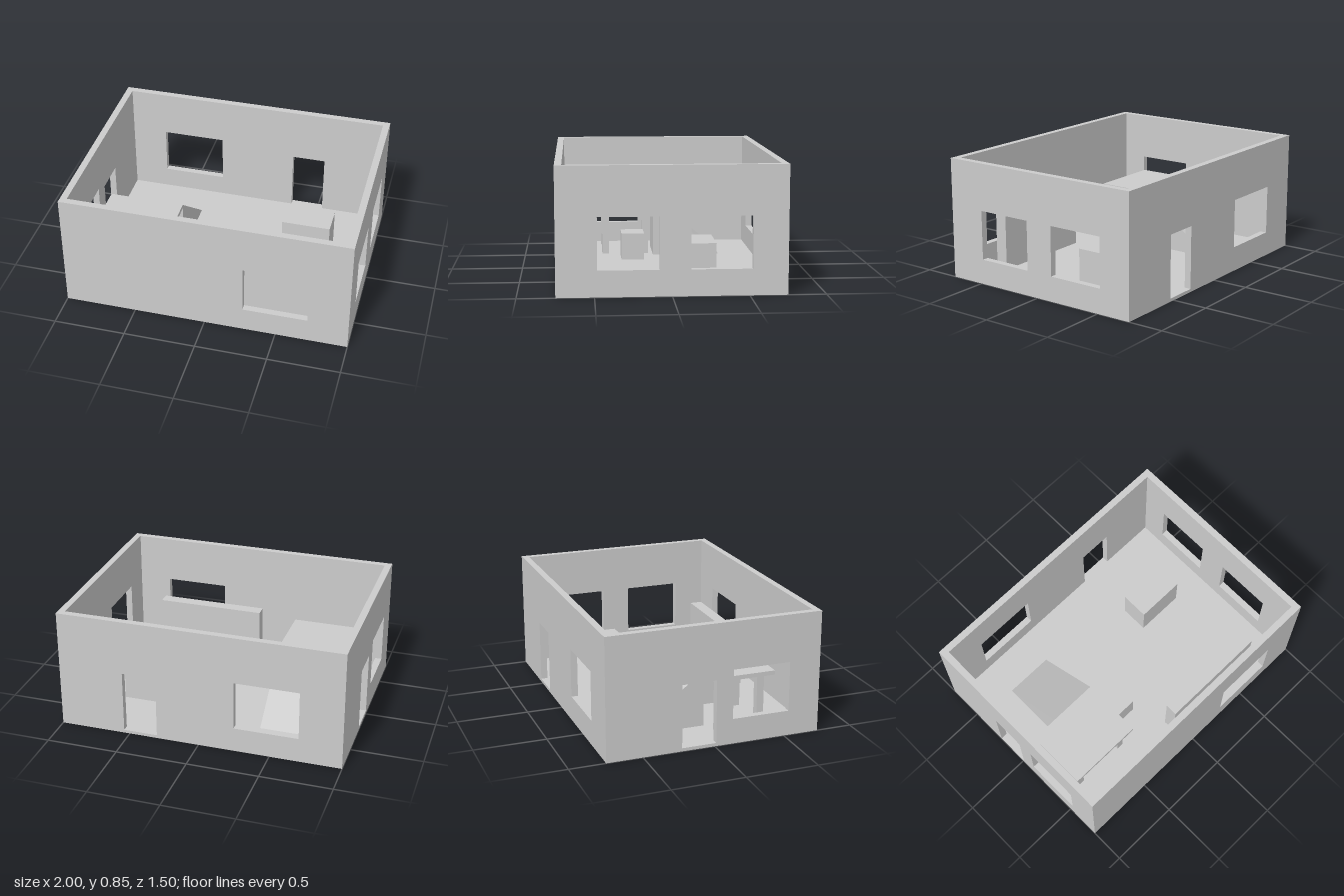
import * as THREE from 'three';

export function createModel() {
  const group = new THREE.Group();
  group.name = 'openRoom';
  const grey = new THREE.MeshStandardMaterial({ color: 0xcccccc, flatShading: true });
  grey.name = 'plain grey';

  const T = 0.047; // wall thickness
  const H = 0.85; // wall height
  const W = 1, D = 0.75; // half width and half depth
  const F = 0.022; // floor thickness

  function add(geometry, name, parent = group) {
    const mesh = new THREE.Mesh(geometry, grey);
    mesh.name = name;
    parent.add(mesh);
    return mesh;
  }

  // Box given by its limits on each axis
  function box(name, x0, x1, y0, y1, z0, z1, parent) {
    const g = new THREE.BoxGeometry(x1 - x0, y1 - y0, z1 - z0);
    g.translate((x0 + x1) / 2, (y0 + y1) / 2, (z0 + z1) / 2);
    return add(g, name, parent);
  }

  function outline(target, a, b, c, d) {
    target.moveTo(a, c);
    target.lineTo(b, c);
    target.lineTo(b, d);
    target.lineTo(a, d);
    target.closePath();
    return target;
  }

  // Wall panel with rectangular openings [from, to, bottom, top]
  function wall(name, half, openings) {
    const shape = outline(new THREE.Shape(), -half, half, 0, H);
    for (const o of openings) shape.holes.push(outline(new THREE.Path(), ...o));
    return add(new THREE.ExtrudeGeometry(shape, { depth: T, bevelEnabled: false }), name);
  }

  // Outer walls with windows and doorways
  const sill = 0.175, head = 0.52, doorHead = 0.462;
  wall('frontWall', W, [[0.27, 0.72, sill, head]]).position.z = D - T;
  wall('backWall', W, [[-0.7, -0.25, sill, head], [0.3, 0.54, F, doorHead]]).position.z = -D;
  const leftWall = wall('leftWall', D - T, [[0.082, 0.482, sill, head], [-0.52, -0.12, sill, head]]);
  const rightWall = wall('rightWall', D - T, [[0.127, 0.53, sill, head], [-0.23, 0.01, F, doorHead]]);
  leftWall.rotation.y = rightWall.rotation.y = -Math.PI / 2;
  leftWall.position.x = W;
  rightWall.position.x = -W + T;

  // Floor slab between the walls
  box('floor', -W + T, W - T, 0, F, -D + T, D - T);

  // Table with four legs
  const table = new THREE.Group();
  table.name = 'table';
  group.add(table);
  box('tableTop', -0.89, -0.35, 0.4, 0.43, 0.043, 0.475, table);
  for (const x of [-0.84, -0.45]) {
    for (const z of [0.077, 0.37]) box('tableLeg', x, x + 0.05, F, 0.4, z, z + 0.05, table);
  }

  // Ramp rising from the floor to the table edge
  const profile = new THREE.Shape();
  profile.moveTo(-0.447, F);
  profile.lineTo(0.043, F);
  profile.lineTo(0.043, 0.43);
  profile.closePath();
  const ramp = add(new THREE.ExtrudeGeometry(profile, { depth: 0.35, bevelEnabled: false }), 'ramp');
  ramp.rotation.y = -Math.PI / 2;
  ramp.position.x = -0.35;

  // Low step, storage block and dividing screen
  box('step', -0.35, -0.16, F, 0.215, 0.12, 0.285);
  box('storageBlock', 0.35, 0.7, F, 0.29, -0.317, -0.117);
  box('screen', -0.06, 0.72, F, 0.42, 0.52, 0.606);

  return group;
}
